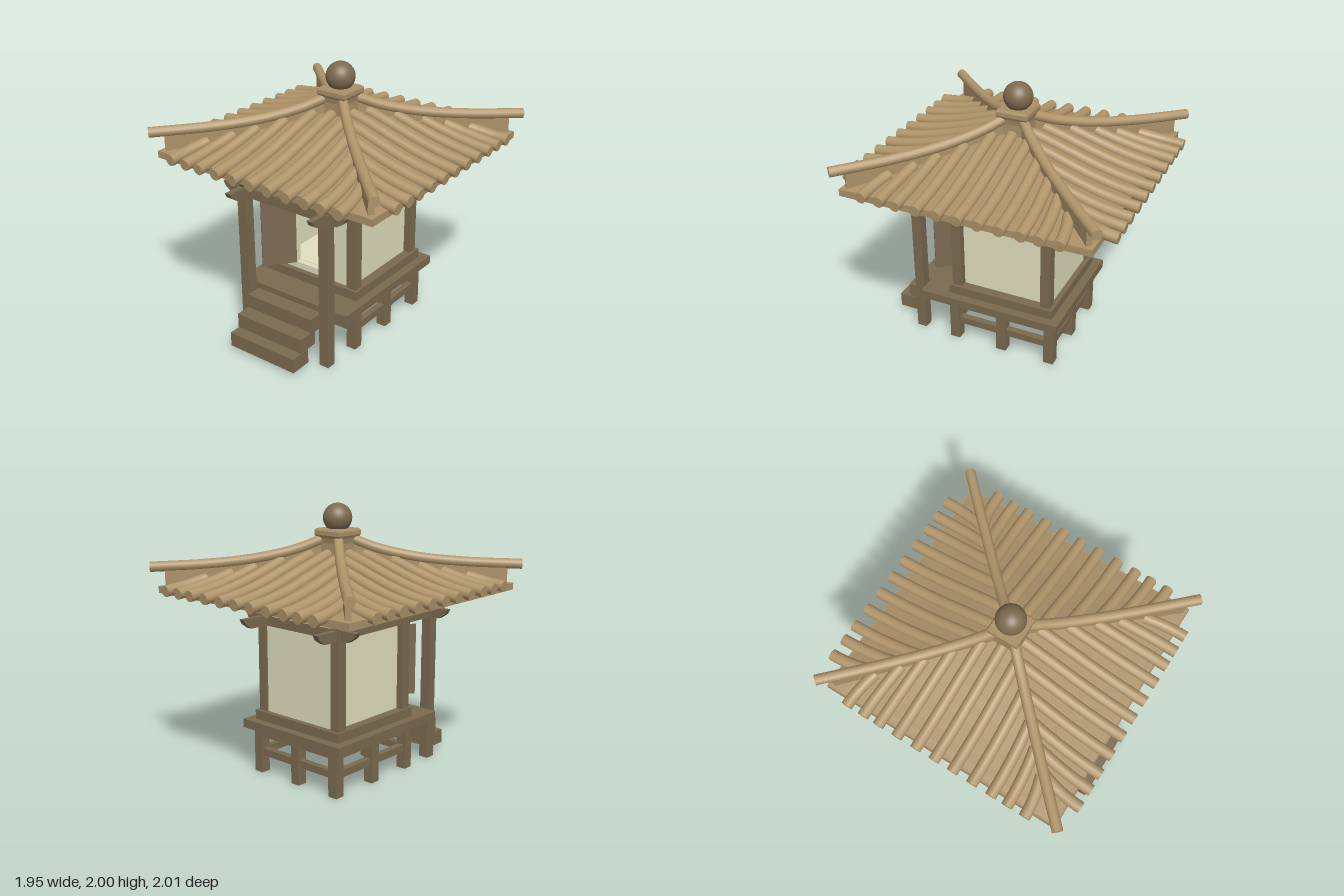
import * as THREE from 'three';
import { mergeGeometries } from 'three/addons/utils/BufferGeometryUtils.js';

const V = (x, y, z) => new THREE.Vector3(x, y, z);
const mat = (color, flatShading = false) => new THREE.MeshStandardMaterial({ color, flatShading });
const wood = mat(0x7a6a50), tile = mat(0xb0956a), tileFlat = mat(0xaa9068, true);
const plaster = mat(0xdfdebc), ball = mat(0x7d6b4e), bulbWood = mat(0x7a6a50, true);

function add(parent, name, geometry, material, x = 0, y = 0, z = 0) {
  const mesh = new THREE.Mesh(geometry, material);
  mesh.name = name;
  mesh.position.set(x, y, z);
  parent.add(mesh);
  return mesh;
}

// Box given by its limits on each axis
function block(parent, name, material, x0, x1, y0, y1, z0, z1) {
  return add(parent, name, new THREE.BoxGeometry(x1 - x0, y1 - y0, z1 - z0), material,
    (x0 + x1) / 2, (y0 + y1) / 2, (z0 + z1) / 2);
}

// Round rod along a curve, closed at its far end
function rod(points, radius, segments) {
  const curve = new THREE.CatmullRomCurve3(points);
  const cap = new THREE.CircleGeometry(radius, 14);
  const end = curve.getPoint(1);
  const turn = new THREE.Quaternion().setFromUnitVectors(V(0, 0, 1), curve.getTangent(1));
  cap.applyQuaternion(turn).translate(end.x, end.y, end.z);
  return mergeGeometries([new THREE.TubeGeometry(curve, segments, radius, 14), cap]);
}

// Beam with boat-shaped ends, lying along x and centred on the origin
function boatBeam(length, width) {
  const h = length / 2;
  const shape = new THREE.Shape([[-h + 0.075, -0.037], [h - 0.075, -0.037], [h - 0.02, 0],
    [h, 0.037], [-h, 0.037], [-h + 0.02, 0]].map(p => new THREE.Vector2(...p)));
  return new THREE.ExtrudeGeometry(shape, { depth: width, bevelEnabled: false }).translate(0, 0, -width / 2);
}

// Roof heights against distance from the centre
const slope = [[0.08, 1.645], [0.3, 1.58], [0.45, 1.53], [0.575, 1.49], [0.71, 1.455], [0.85, 1.427], [1.02, 1.408]];
const ridge = [[0.08, 1.74], [0.2, 1.675], [0.4, 1.61], [0.65, 1.57], [0.95, 1.55]];
function heightAt(d, table = slope) {
  for (let i = 1; i < table.length; i++) {
    const [d0, y0] = table[i - 1], [d1, y1] = table[i];
    if (d <= d1 || i === table.length - 1) return y0 + (y1 - y0) * (d - d0) / (d1 - d0);
  }
}

function makeRoof() {
  const roof = new THREE.Group();
  roof.name = 'roof';
  roof.position.set(-0.005, 0, 0.01);
  block(roof, 'eavesPlate', tileFlat, -0.912, 0.912, 1.36, 1.41, -0.912, 0.912);

  // Four-sided concave slope
  const profile = slope.slice(0, -1).reverse().map(([d, y]) => new THREE.Vector2(d * Math.SQRT2, y - 0.005));
  profile.unshift(new THREE.Vector2(0.9 * Math.SQRT2, 1.41));
  add(roof, 'roofSlope', new THREE.LatheGeometry(profile, 4).rotateY(Math.PI / 4), tileFlat);

  const columns = [0, 0.147, 0.3, 0.45, 0.575, 0.71];
  const reach = [0.99, 0.963, 1.01, 0.963];
  for (let k = 0; k < 4; k++) {
    // Rows of round tiles running from the hip to the eaves
    const side = new THREE.Group();
    side.name = 'roofSide';
    side.rotation.y = k * Math.PI / 2;
    roof.add(side);
    for (const a of columns) for (const s of a ? [-1, 1] : [1]) {
      const start = Math.max(a * 0.95, 0.1), points = [];
      for (let i = 0; i <= 6; i++) {
        const t = i / 6, d = start + (reach[k] - start) * t;
        points.push(V(s * a * (1 - 0.07 * Math.pow(1 - t, 2)), heightAt(d), d));
      }
      add(side, 'roundTile', rod(points, 0.041, 14), tile);
    }

    // Hip ridge with the thin wall below it
    const hip = new THREE.Group();
    hip.name = 'hip';
    hip.rotation.y = Math.PI / 4 + k * Math.PI / 2;
    roof.add(hip);
    add(hip, 'hipRidge', rod(ridge.map(([d, y]) => V(d * Math.SQRT2, y, 0)), 0.037, 24), tile);
    const ds = [0.08, 0.2, 0.4, 0.65, 0.875];
    const outline = [...ds.map(d => [d, heightAt(d) - 0.02]), ...ds.slice().reverse().map(d => [d, heightAt(d, ridge)])];
    const fin = new THREE.Shape(outline.map(([d, y]) => new THREE.Vector2(d * Math.SQRT2, y)));
    add(hip, 'hipWall', new THREE.ExtrudeGeometry(fin, { depth: 0.04, bevelEnabled: false }).translate(0, 0, -0.02), tileFlat);

    // Shallow purlin under the eaves
    block(side, 'purlin', tileFlat, -0.54, 0.54, 1.345, 1.365, 0.46, 0.51);
  }

  // Square cap and ball
  const cap = [[0.1, 1.58], [0.1, 1.72], [0.108, 1.755], [0.118, 1.775], [0.118, 1.805], [0.108, 1.82], [0, 1.82]]
    .map(([r, y]) => new THREE.Vector2(r * Math.SQRT2, y));
  add(roof, 'roofCap', new THREE.LatheGeometry(cap, 4).rotateY(Math.PI / 4), tileFlat);
  add(roof, 'finialBall', new THREE.SphereGeometry(0.105, 32, 20), ball, 0, 1.895, 0);
  return roof;
}

function makeBase() {
  const base = new THREE.Group();
  base.name = 'base';
  block(base, 'platform', wood, -0.48, 0.475, 0.34, 0.405, -0.505, 0.595);
  block(base, 'sill', wood, -0.415, 0.41, 0.405, 0.475, -0.44, 0.385);
  const xs = [-0.375, -0.01, 0.37], zs = [0.352, -0.033, -0.418], w = 0.038;
  xs.forEach((x, i) => zs.forEach((z, j) => {
    if (i !== 1 || j !== 1) block(base, 'leg', wood, x - w, x + w, 0, 0.34, z - w, z + w);
  }));
  // Two levels of rails between the legs
  for (const [y0, y1] of [[0.135, 0.19], [0.28, 0.34]]) {
    for (const x of [xs[0], xs[2]]) block(base, 'sideRail', wood, x - 0.025, x + 0.025, y0, y1, zs[2], zs[0]);
    for (const z of [zs[0], zs[2]]) block(base, 'crossRail', wood, xs[0], xs[2], y0, y1, z - 0.025, z + 0.025);
  }
  for (const [y0, y1, z0, z1] of [[0.03, 0.14, 0.75, 0.915], [0.145, 0.255, 0.67, 0.83], [0.25, 0.36, 0.55, 0.715]])
    block(base, 'step', wood, -0.32, 0.26, y0, y1, z0, z1);
  return base;
}

function makeRoom() {
  const room = new THREE.Group();
  room.name = 'room';
  // Corner posts and hollow plaster walls
  for (const x of [-0.36, 0.35]) for (const z of [0.328, -0.378])
    block(room, 'cornerPost', wood, x - 0.038, x + 0.038, 0.47, 1.37, z - 0.038, z + 0.038);
  block(room, 'leftWall', plaster, 0.295, 0.335, 0.47, 1.36, -0.38, 0.33);
  block(room, 'rightWall', plaster, -0.345, -0.305, 0.47, 1.36, -0.38, 0.33);
  block(room, 'backWall', plaster, -0.34, 0.33, 0.47, 1.36, -0.4, -0.36);
  block(room, 'floor', plaster, -0.34, 0.33, 0.47, 0.525, -0.38, 0.3);

  const rect = (C, x0, x1, y0, y1) =>
    new C([[x0, y0], [x1, y0], [x1, y1], [x0, y1]].map(p => new THREE.Vector2(...p)));
  const front = rect(THREE.Shape, -0.34, 0.33, 0.47, 1.36);
  front.holes.push(rect(THREE.Path, -0.155, 0.155, 0.525, 1.07));
  add(room, 'frontWall', new THREE.ExtrudeGeometry(front, { depth: 0.04, bevelEnabled: false }), plaster, 0, 0, 0.305);

  // Doors swung outward from the edges of the opening
  for (const s of [-1, 1]) {
    const door = add(room, 'door', new THREE.BoxGeometry(0.255, 0.547, 0.015), wood, s * 0.235, 0.798, 0.45);
    door.rotation.y = -s * Math.atan2(0.2, 0.16);
  }
  return room;
}

function makePorch() {
  const porch = new THREE.Group();
  porch.name = 'porch';
  const bulb = [[0.03, 1.18], [0.036, 1.2], [0.054, 1.235], [0.054, 1.285], [0.036, 1.32], [0.036, 1.37]]
    .map(p => new THREE.Vector2(...p));
  for (const x of [-0.362, 0.352]) {
    block(porch, 'porchPost', wood, x - 0.039, x + 0.039, 0, 1.19, 0.615, 0.69);
    add(porch, 'postBulb', new THREE.LatheGeometry(bulb, 8).rotateY(Math.PI / 8), bulbWood, x, 0, 0.652);
    add(porch, 'sideBeam', boatBeam(1.44, 0.045), wood, x, 1.158, 0.11).rotation.y = Math.PI / 2;
  }
  for (const z of [0.652, -0.378]) add(porch, 'crossBeam', boatBeam(1.07, 0.045), wood, -0.005, 1.16, z);
  return porch;
}

export function createModel() {
  const model = new THREE.Group();
  model.name = 'pavilion';
  model.add(makeBase(), makeRoom(), makePorch(), makeRoof());
  return model;
}
